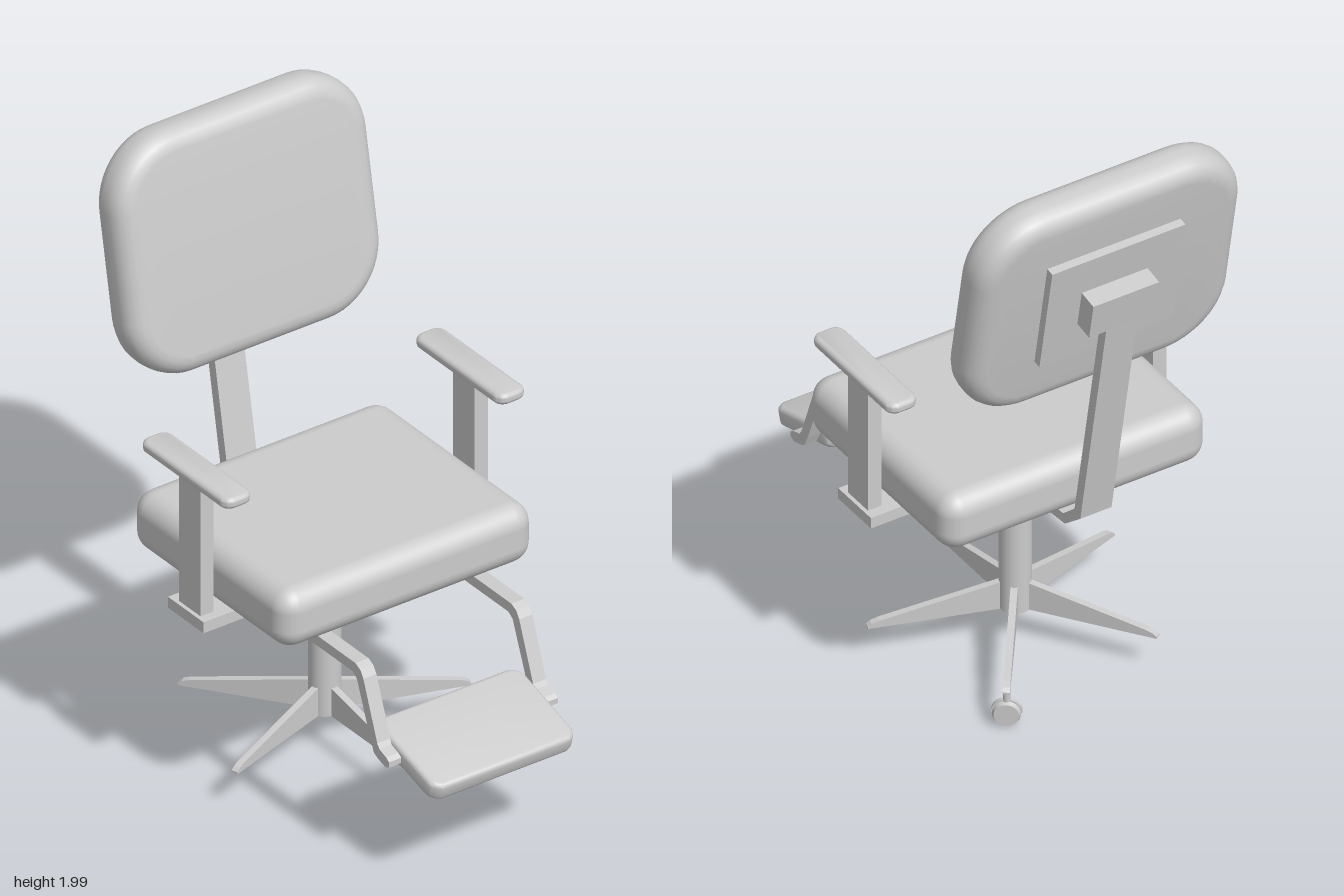
import * as THREE from 'three';
import { RoundedBoxGeometry } from 'three/addons/geometries/RoundedBoxGeometry.js';
import { toCreasedNormals } from 'three/addons/utils/BufferGeometryUtils.js';

const material = new THREE.MeshStandardMaterial({ color: 0xcccccc });

function add(parent, name, geometry, x = 0, y = 0, z = 0) {
  const mesh = new THREE.Mesh(geometry, material);
  mesh.name = name;
  mesh.position.set(x, y, z);
  parent.add(mesh);
  return mesh;
}

// Rounded rectangle, centred on the origin
function roundedRect(w, h, r) {
  const s = new THREE.Shape();
  const x = w / 2, y = h / 2;
  s.moveTo(x, -y + r);
  s.lineTo(x, y - r);
  s.absarc(x - r, y - r, r, 0, Math.PI / 2);
  s.absarc(-x + r, y - r, r, Math.PI / 2, Math.PI);
  s.absarc(-x + r, -y + r, r, Math.PI, Math.PI * 1.5);
  s.absarc(x - r, -y + r, r, Math.PI * 1.5, Math.PI * 2);
  return s;
}

// Cushion standing in the xy plane, thickness centred on z = 0
function cushion(w, h, thick, r, bevel, segments = 4) {
  const g = new THREE.ExtrudeGeometry(roundedRect(w - 2 * bevel, h - 2 * bevel, r - bevel), {
    depth: thick - 2 * bevel, bevelSize: bevel, bevelThickness: bevel,
    bevelSegments: segments, curveSegments: 6,
  });
  g.translate(0, 0, -(thick - 2 * bevel) / 2);
  return toCreasedNormals(g, 0.8);
}

// Side outline given as [z, y] points, extruded across x and centred on x = 0
function sideProfile(points, width) {
  const s = new THREE.Shape(points.map(([z, y]) => new THREE.Vector2(z, y)));
  const g = new THREE.ExtrudeGeometry(s, { depth: width, bevelEnabled: false });
  return g.translate(0, 0, -width / 2).rotateY(-Math.PI / 2);
}

export function createModel() {
  const chair = new THREE.Group();
  chair.name = 'chair';
  const axisZ = -0.156;

  // Seat
  add(chair, 'seatCushion', new RoundedBoxGeometry(0.93, 0.2, 0.79, 4, 0.068), 0, 0.78, -0.115);

  // Plate under the seat, curving out into the arm crossbar
  const p = new THREE.Shape();
  const quarter = [[0.54, 0.09], [0.395, 0.09], [0.37, 0.115], [0.3, 0.125], [0.25, 0.15], [0.225, 0.18]];
  const mirror = (sx, sy) => quarter.map(([x, y]) => new THREE.Vector2(x * sx, y * sy));
  p.setFromPoints([...mirror(1, 1), ...mirror(-1, 1).reverse(), ...mirror(-1, -1), ...mirror(1, -1).reverse()]);
  const plate = new THREE.ExtrudeGeometry(p, { depth: 0.038, bevelEnabled: false });
  add(chair, 'seatPlate', plate.rotateX(-Math.PI / 2), 0, 0.643, -0.145 + 0.03);

  // Backrest with its mounting plate and block
  const back = new THREE.Group();
  back.name = 'backrest';
  back.position.set(0, 1.602, -0.59);
  back.rotation.x = -0.183;
  chair.add(back);
  const pad = cushion(0.93, 0.785, 0.15, 0.22, 0.062, 5);
  add(back, 'backCushion', pad);
  add(back, 'backMountingPlate', new THREE.BoxGeometry(0.47, 0.39, 0.035), 0, 0, -0.085);
  add(back, 'backMountingBlock', new THREE.BoxGeometry(0.232, 0.13, 0.068), 0, 0, -0.134);

  // Bent support from the seat plate to the backrest
  add(chair, 'backSupport', sideProfile([
    [-0.25, 0.643], [-0.34, 0.645], [-0.515, 0.66], [-0.6, 0.73], [-0.748, 1.54],
    [-0.714, 1.546], [-0.568, 0.748], [-0.505, 0.692], [-0.34, 0.68], [-0.25, 0.68],
  ], 0.11));

  for (const side of [-1, 1]) {
    // Armrests
    add(chair, 'armPost', new THREE.BoxGeometry(0.048, 0.5, 0.11), side * 0.503, 0.892, -0.113);
    const arm = cushion(0.105, 0.445, 0.036, 0.035, 0.014, 3).rotateX(-Math.PI / 2);
    add(chair, 'armPad', arm, side * 0.502, 1.153, -0.113);
    // Footrest bars
    add(chair, 'footrestBar', sideProfile([
      [-0.1, 0.645], [0.41, 0.645], [0.432, 0.63], [0.502, 0.45], [0.518, 0.414], [0.535, 0.405],
      [0.578, 0.392], [0.594, 0.4], [0.594, 0.418], [0.58, 0.428], [0.545, 0.44],
      [0.535, 0.455], [0.465, 0.645], [0.45, 0.668], [0.425, 0.68], [-0.1, 0.68],
    ], 0.048), side * 0.286);
  }

  // Footrest
  const foot = cushion(0.53, 0.325, 0.062, 0.045, 0.015, 3).rotateX(-Math.PI / 2);
  add(chair, 'footrest', foot, 0, 0.408, 0.602).rotation.x = 0.285;

  // Column
  add(chair, 'columnCollar', new THREE.CylinderGeometry(0.08, 0.075, 0.034, 32), 0, 0.627, axisZ);
  add(chair, 'column', new THREE.CylinderGeometry(0.05, 0.05, 0.5, 32), 0, 0.372, axisZ);
  add(chair, 'columnPin', new THREE.CylinderGeometry(0.025, 0.025, 0.02, 20), 0, 0.12, axisZ);

  // Five tapering legs around the column
  const legOutline = [[0, 0.122], [0.455, 0.122], [0.455, 0.128], [0.443, 0.138], [0.42, 0.146], [0.04, 0.22], [0, 0.22]];
  for (let i = 0; i < 5; i++) {
    const leg = add(chair, 'baseLeg', sideProfile(legOutline, 0.022), 0, 0, axisZ);
    leg.rotation.y = i * Math.PI * 0.4;
  }

  // Caster below the rear left leg
  const caster = new THREE.Group();
  caster.name = 'caster';
  const angle = Math.PI * 0.8;
  caster.position.set(Math.sin(angle) * 0.435, 0, axisZ + Math.cos(angle) * 0.435);
  caster.rotation.y = angle;
  chair.add(caster);
  add(caster, 'casterStem', new THREE.CylinderGeometry(0.011, 0.011, 0.06, 14), 0, 0.1, 0);
  for (const s of [-1, 1]) {
    const wheel = new THREE.CylinderGeometry(s > 0 ? 0.038 : 0.044, s > 0 ? 0.044 : 0.038, 0.014, 24);
    add(caster, 'casterWheel', wheel.rotateX(Math.PI / 2), 0, 0.044, s * 0.013);
  }
  const hood = new THREE.CylinderGeometry(0.047, 0.047, 0.014, 20, 1, false, Math.PI / 2, Math.PI);
  add(caster, 'casterHood', hood.rotateX(Math.PI / 2), 0, 0.046, 0);

  return chair;
}
